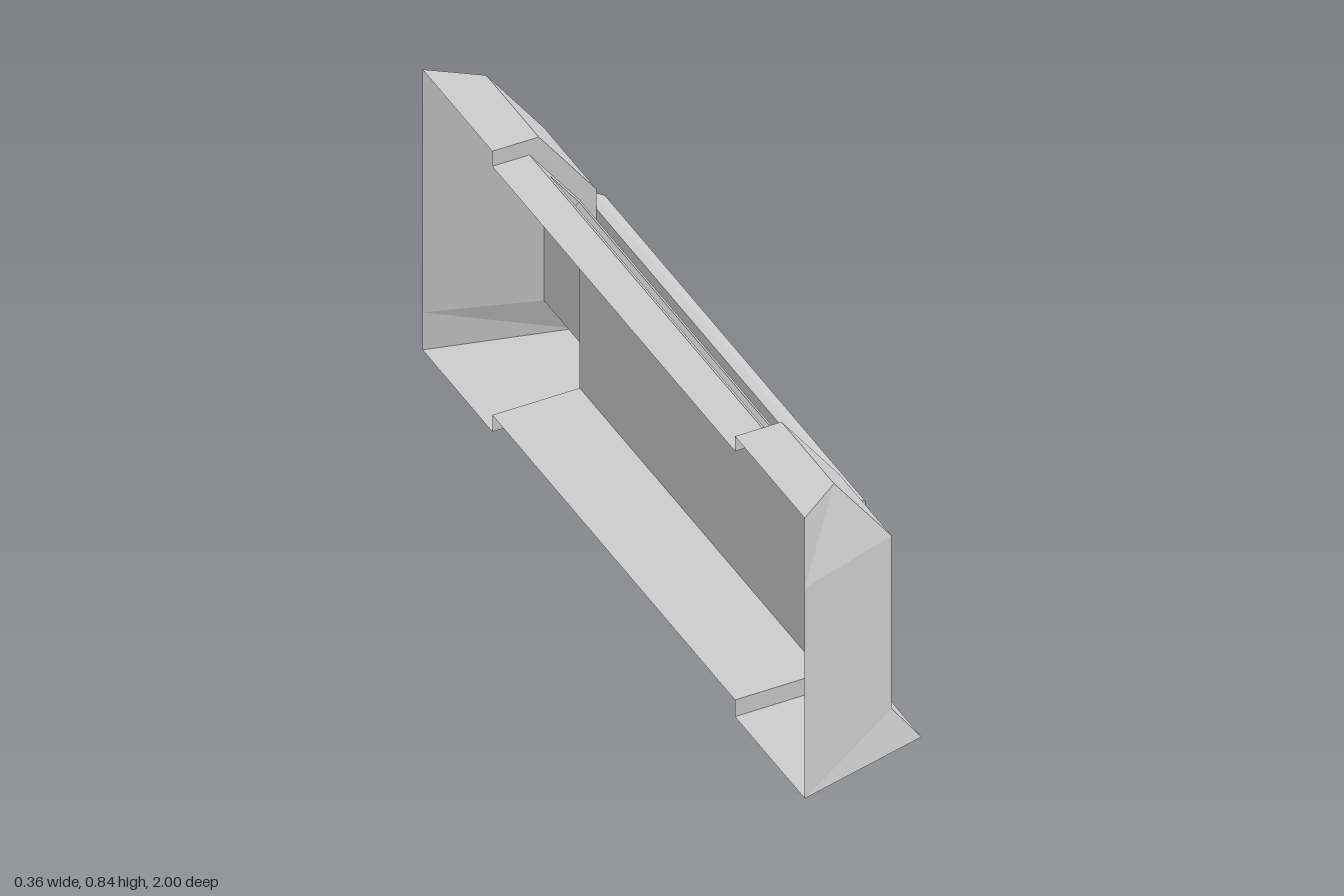
import * as THREE from 'three';

const shellMaterial = new THREE.MeshStandardMaterial({ color: 0xcccccc, flatShading: true, side: THREE.DoubleSide });
const barMaterial = new THREE.MeshStandardMaterial({ color: 0xcccccc, flatShading: true });

const BACK = -0.18, INNER = 0.635, EDGE = 0.91;
// Profiles [x, y] from the lower back edge around the front to the upper back edge
const endProfile = [[BACK, 0], [0.18, 0], [0.1, 0.112], [0.1, 0.63], [-0.055, 0.84], [BACK, 0.84]];
const panelProfile = [[BACK, 0.05], [0.055, 0.05], [0.055, 0.05], [0.055, 0.613], [-0.08, 0.795], [BACK, 0.795]];

// Joins successive rows of points with flat faces, leaving out collapsed triangles
function loft(name, rows, skip = -1) {
  const points = [];
  const addTriangle = (...corners) => {
    const [a, b, c] = corners.map((p) => new THREE.Vector3(...p));
    if (b.clone().sub(a).cross(c.clone().sub(a)).length() > 1e-6) points.push(a, b, c);
  };
  for (let r = 0; r < rows.length - 1; r++) {
    const A = rows[r], B = rows[r + 1];
    for (let i = 0; i < A.length - 1; i++) {
      if (i === skip) continue;
      addTriangle(A[i], B[i], B[i + 1]);
      addTriangle(A[i], B[i + 1], A[i + 1]);
    }
  }
  const geometry = new THREE.BufferGeometry().setFromPoints(points);
  geometry.computeVertexNormals();
  const mesh = new THREE.Mesh(geometry, shellMaterial);
  mesh.name = name;
  return mesh;
}

const section = (profile, z) => profile.map(([x, y]) => [x, y, z]);

// Hollow end post: tapered side, front and the step down to the centre panel
function endPost(name, s) {
  const rows = [
    endProfile.map(([, y]) => [BACK, y, s]),
    endProfile.map(([x, y]) => [x, y, s * (x === BACK ? 1 : EDGE)]),
    section(endProfile, s * INNER),
    section(panelProfile, s * INNER),
  ];
  return loft(name, s > 0 ? rows : rows.reverse());
}

// Sloping panel with a sunken rectangular slot
function slopedPanel() {
  const low = panelProfile[3], high = panelProfile[4];
  const depth = 0.04, normal = [0.803, 0.596];
  const rectangle = (t0, t1, halfWidth, sink) => {
    const at = (t, z) => [
      low[0] + (high[0] - low[0]) * t - normal[0] * sink,
      low[1] + (high[1] - low[1]) * t - normal[1] * sink, z];
    return [at(t0, halfWidth), at(t0, -halfWidth), at(t1, -halfWidth), at(t1, halfWidth), at(t0, halfWidth)];
  };
  return loft('slopedPanel', [
    rectangle(0.49, 0.49, 0, depth),
    rectangle(0.2, 0.78, 0.585, depth),
    rectangle(0.2, 0.78, 0.585, 0),
    rectangle(0, 1, INNER, 0),
  ]);
}

export function createModel() {
  const model = new THREE.Group();
  model.name = 'barrier';
  model.add(endPost('leftEndPost', 1), endPost('rightEndPost', -1));
  // Centre shell, open at the back; the sloping face is added separately
  model.add(loft('centrePanel', [section(panelProfile, INNER), section(panelProfile, -INNER)], 3));
  model.add(slopedPanel());

  // Chamfered horizontal bars across the front
  const barShape = new THREE.Shape([
    [0.1, 0], [0.125, 0], [0.154, 0.019], [0.154, 0.052], [0.125, 0.071], [0.1, 0.071],
  ].map(([x, y]) => new THREE.Vector2(x, y)));
  const barGeometry = new THREE.ExtrudeGeometry(barShape, { depth: 1.363, bevelEnabled: false });
  for (let i = 0; i < 4; i++) {
    const bar = new THREE.Mesh(barGeometry, barMaterial);
    bar.name = 'bar' + (i + 1);
    bar.position.set(0, 0.143 + i * 0.119, -0.696);
    model.add(bar);
  }
  return model;
}
